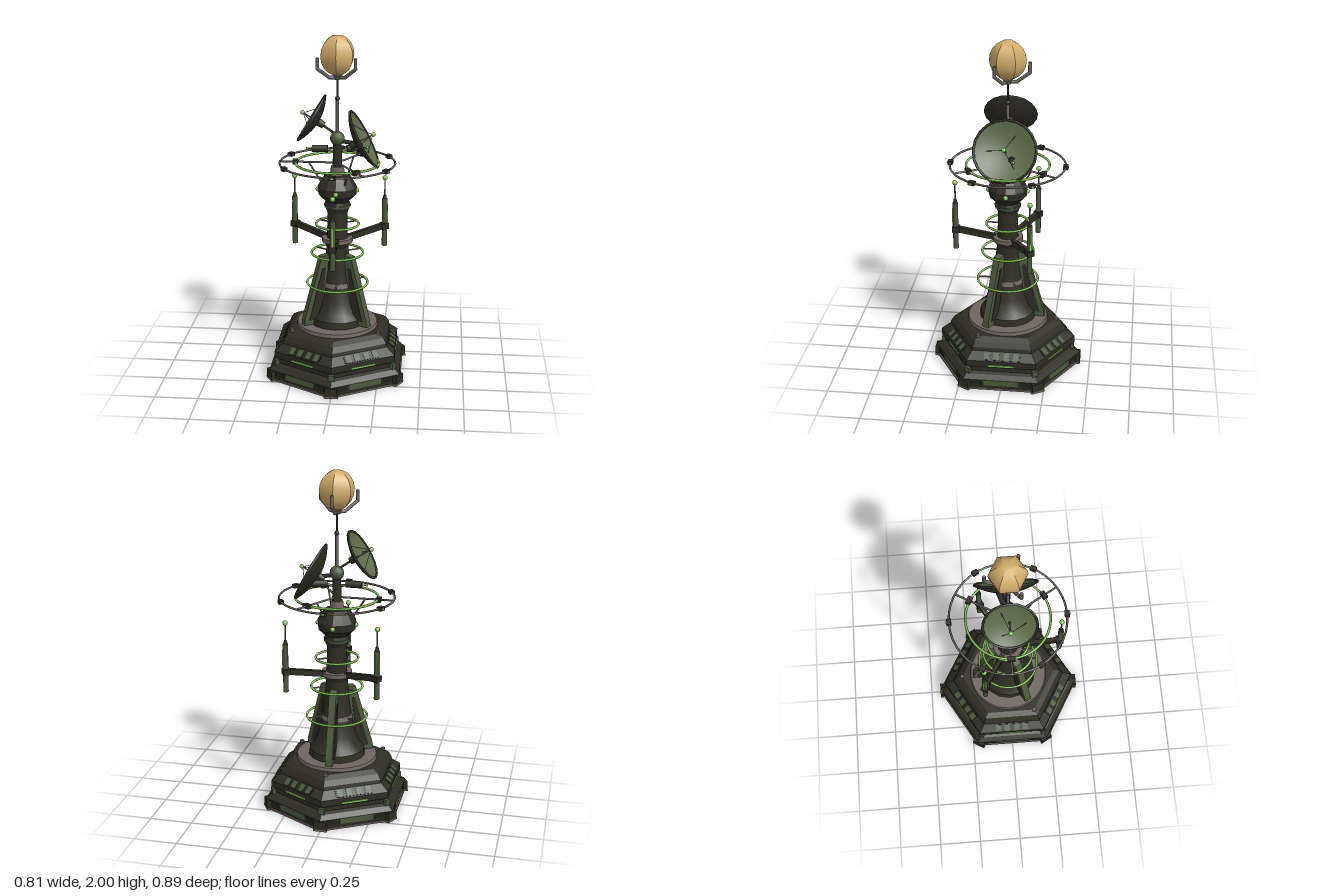
import * as THREE from 'three';
import { toCreasedNormals } from 'three/addons/utils/BufferGeometryUtils.js';

const mat = (name, color) => {
  const m = new THREE.MeshStandardMaterial({ color });
  m.name = name;
  return m;
};
const V = (x, y, z) => new THREE.Vector3(x, y, z);
const TAU = Math.PI * 2;

export function createModel() {
  const dark = mat('dark hull', 0x2e2e23);
  const black = mat('recess', 0x22221b);
  const green = mat('olive panel', 0x4b5b3d);
  const dishGreen = mat('dish green', 0x5b6b4b);
  const glow = mat('bright green', 0x86c858);
  const grey = mat('grey metal', 0x6e675f);
  const gold = mat('gold', 0xd2ad6c);

  const model = new THREE.Group();
  model.name = 'commsTower';

  // Helpers
  const add = (parent, name, geo, material, x = 0, y = 0, z = 0) => {
    const m = new THREE.Mesh(geo, material);
    m.name = name;
    m.position.set(x, y, z);
    parent.add(m);
    return m;
  };
  const box = (w, h, d) => new THREE.BoxGeometry(w, h, d);
  const cyl = (rt, rb, h, n = 10) => new THREE.CylinderGeometry(rt, rb, h, n);
  const ball = (r) => new THREE.SphereGeometry(r, 12, 8);
  const lathe = (pts, n, crease = 0.6) =>
    toCreasedNormals(new THREE.LatheGeometry(pts.map(p => new THREE.Vector2(...p)), n), crease);
  const ring = (parent, name, r, t, material, y) => {
    add(parent, name, new THREE.TorusGeometry(r, t, 6, 40), material, 0, y, 0).rotation.x = Math.PI / 2;
  };
  const rod = (parent, name, a, b, r, material, n = 6) => {
    const d = b.clone().sub(a);
    const m = add(parent, name, cyl(r, r, d.length(), n), material);
    m.position.copy(a).add(b).multiplyScalar(0.5);
    m.quaternion.setFromUnitVectors(V(0, 1, 0), d.normalize());
    return m;
  };
  // Repeats a part round the axis; inside it, local +z points outwards
  const around = (name, count, start, build) => {
    for (let i = 0; i < count; i++) {
      const g = new THREE.Group();
      g.name = name;
      g.rotation.y = start + (i * TAU) / count;
      build(g);
      model.add(g);
    }
  };

  // Stepped hexagonal base
  add(model, 'base', lathe([[0, 0], [0.432, 0], [0.438, 0.065], [0.41, 0.09], [0.385, 0.1], [0.385, 0.125],
    [0.404, 0.135], [0.404, 0.175], [0.35, 0.215], [0.345, 0.235], [0.325, 0.265], [0.29, 0.285], [0, 0.285]], 6, 0.1), dark);
  add(model, 'basePlate', toCreasedNormals(cyl(0.443, 0.443, 0.011, 6), 0.2), grey, 0, 0.008, 0);
  add(model, 'deckRing', toCreasedNormals(cyl(0.235, 0.24, 0.025, 32), 0.5), grey, 0, 0.293, 0);

  // Panels, lights and vents on each base face
  around('baseFace', 6, Math.PI / 6, g => {
    add(g, 'lowerPanel', box(0.2, 0.034, 0.008), green, 0, 0.047, 0.376);
    for (const s of [-1, 1]) add(g, 'sideRecess', box(0.06, 0.03, 0.008), black, s * 0.145, 0.047, 0.376);
    add(g, 'lightStrip', box(0.15, 0.009, 0.009), glow, 0, 0.147, 0.35);
    const slope = new THREE.Group();
    slope.name = 'ventRow';
    slope.position.set(0, 0.195, 0.327);
    slope.rotation.x = -Math.atan2(0.047, 0.04);
    g.add(slope);
    add(slope, 'ventRecess', box(0.22, 0.048, 0.006), black);
    for (const x of [-0.085, -0.03, 0.03, 0.085]) add(slope, 'vent', box(0.034, 0.044, 0.009), green, x, 0, 0.001);
  });

  // Corner posts
  around('baseCorner', 6, 0, g => {
    add(g, 'cornerPost', box(0.07, 0.05, 0.035), dark, 0, 0.037, 0.424);
    add(g, 'cornerBrace', box(0.035, 0.04, 0.02), green, 0, 0.105, 0.393);
    add(g, 'cornerFoot', box(0.08, 0.012, 0.02), grey, 0, 0.008, 0.432);
  });

  // Tower shaft
  add(model, 'shaft', lathe([[0, 0.3], [0.168, 0.3], [0.163, 0.345], [0.135, 0.375], [0.11, 0.44], [0.09, 0.53],
    [0.075, 0.63], [0.065, 0.75], [0.06, 0.85], [0.057, 0.98], [0, 0.98]], 16), dark);
  add(model, 'lowerBand', cyl(0.088, 0.095, 0.025, 16), grey, 0, 0.545, 0);
  add(model, 'armCollar', cyl(0.09, 0.09, 0.025, 16), grey, 0, 0.812, 0);
  add(model, 'armCollarBase', cyl(0.08, 0.065, 0.035, 16), dark, 0, 0.785, 0);

  // Buttress fins with inset panels
  const finShape = (pts) => new THREE.Shape(pts.map(p => new THREE.Vector2(...p)));
  const fin = (pts, t) => {
    const geo = new THREE.ExtrudeGeometry(finShape(pts), { depth: t, bevelEnabled: false });
    geo.translate(0, 0, -t / 2);
    return geo.rotateY(-Math.PI / 2);
  };
  around('buttress', 3, Math.PI, g => {
    add(g, 'fin', fin([[0.06, 0.31], [0.222, 0.31], [0.217, 0.35], [0.11, 0.72], [0.05, 0.73]], 0.042), green);
    add(g, 'finInset', fin([[0.12, 0.34], [0.19, 0.34], [0.105, 0.65], [0.085, 0.65]], 0.05), dark);
    add(g, 'deckBolt', cyl(0.014, 0.014, 0.015, 5), grey, 0, 0.288, 0.29);
  });

  // Glowing hoops held by thin spokes
  for (const [r, y] of [[0.177, 0.545], [0.15, 0.73], [0.124, 0.905]]) {
    ring(model, 'hoop', r, 0.007, glow, y);
    around('hoopSpokes', 3, 0, g => rod(g, 'hoopSpoke', V(0, y, 0.05), V(0, y, r), 0.005, grey));
  }

  // Arms carrying antenna pods
  around('podArm', 3, 0, g => {
    const arm = add(g, 'arm', box(0.026, 0.034, 0.24), dark, 0, 0.832, 0.19);
    arm.rotation.x = -0.17;
    add(g, 'podClamp', box(0.042, 0.035, 0.042), dark, 0, 0.85, 0.305);
    add(g, 'pod', cyl(0.016, 0.016, 0.29, 8), green, 0, 0.872, 0.307);
    add(g, 'podLight', box(0.01, 0.11, 0.006), glow, 0, 0.925, 0.323);
    add(g, 'podCap', cyl(0.008, 0.013, 0.025, 8), dark, 0, 1.028, 0.307);
    rod(g, 'whisker', V(0, 1.03, 0.307), V(0, 1.14, 0.307), 0.0045, grey);
    add(g, 'whiskerTip', ball(0.015), glow, 0, 1.143, 0.307);
  });

  // Hub
  add(model, 'hub', lathe([[0, 0.98], [0.06, 0.98], [0.075, 1.02], [0.068, 1.045], [0.11, 1.085], [0.114, 1.13],
    [0.082, 1.185], [0.07, 1.2], [0, 1.2]], 12, 0.4), dark);
  add(model, 'hubBand', cyl(0.084, 0.102, 0.028, 12), green, 0, 1.158, 0);
  add(model, 'hubNeckBand', cyl(0.078, 0.076, 0.014, 12), green, 0, 1.018, 0);
  around('hubLightMount', 4, 0, g => add(g, 'hubLight', ball(0.014), glow, 0, 1.11, 0.112));
  add(model, 'hubCap', cyl(0.037, 0.043, 0.05, 12), grey, 0, 1.225, 0);

  // Halo rings, nodes and spokes
  ring(model, 'outerRing', 0.33, 0.006, grey, 1.27);
  ring(model, 'innerRing', 0.238, 0.007, glow, 1.27);
  around('outerNode', 6, 0, g => {
    add(g, 'node', box(0.036, 0.022, 0.028), dark, 0, 1.27, 0.33);
    add(g, 'nodeLight', box(0.014, 0.008, 0.006), glow, 0, 1.27, 0.345);
  });
  around('haloSpoke', 3, -Math.PI / 2, g => {
    rod(g, 'spoke', V(0, 1.27, 0.02), V(0, 1.27, 0.33), 0.006, grey);
    add(g, 'spokeClamp', box(0.045, 0.025, 0.028), dark, 0, 1.27, 0.242);
    rod(g, 'brace', V(0, 1.15, 0.09), V(0, 1.27, 0.165), 0.005, grey);
  });

  // Mast
  add(model, 'mastBase', cyl(0.024, 0.028, 0.15, 12), dark, 0, 1.315, 0);
  add(model, 'mastJoint', ball(0.042), green, 0, 1.412, 0);
  rod(model, 'mast', V(0, 1.43, 0), V(0, 1.64, 0), 0.01, grey, 8);
  add(model, 'mastKnot', ball(0.014), dark, 0, 1.642, 0);
  rod(model, 'mastTip', V(0, 1.64, 0), V(0, 1.76, 0), 0.006, dark, 8);

  // Small horn receivers
  around('hornMount', 2, -Math.PI / 2, g => {
    if (g.rotation.y > 0) g.rotation.y += 0.29;
    rod(g, 'hornStem', V(0, 1.335, 0.02), V(0, 1.35, 0.07), 0.007, grey);
    rod(g, 'horn', V(0, 1.35, 0.055), V(0, 1.35, 0.145), 0.021, dark, 8);
    rod(g, 'hornNeedle', V(0, 1.35, 0.14), V(0, 1.35, 0.17), 0.004, grey);
    add(g, 'hornTip', ball(0.008), glow, 0, 1.35, 0.173);
  });

  // Dishes: bowl, rim, feed and rear mount, built along local +y
  const dish = (name, R, depth, center, normal) => {
    const g = new THREE.Group();
    g.name = name;
    g.position.copy(center);
    g.quaternion.setFromUnitVectors(V(0, 1, 0), normal.normalize());
    model.add(g);
    const steps = [0, 0.2, 0.4, 0.6, 0.8, 1];
    const curve = (drop) => steps.map(t => [t * R, depth * (t * t - 1) - drop]);
    add(g, 'dishFace', lathe(curve(0).reverse(), 20), dishGreen);
    add(g, 'dishBack', lathe(curve(0.01), 20), dark);
    add(g, 'dishRim', new THREE.TorusGeometry(R - 0.002, 0.007, 6, 20), dark, 0, -0.004, 0).rotation.x = Math.PI / 2;
    rod(g, 'feedStem', V(0, -depth, 0), V(0, 0.056, 0), 0.004, grey);
    for (let i = 0; i < 3; i++) {
      const a = (i * TAU) / 3 + Math.PI / 2;
      rod(g, 'feedStrut', V(Math.cos(a) * R * 0.6, -depth * 0.64, Math.sin(a) * R * 0.6), V(0, 0.05, 0), 0.002, grey);
    }
    add(g, 'feedTip', ball(0.013), glow, 0, 0.056, 0);
    add(g, 'dishMount', cyl(0.024, 0.02, 0.045, 8), dark, 0, -depth - 0.022, 0);
  };
  dish('upperDish', 0.15, 0.04, V(-0.15, 1.53, 0), V(-0.85, 0.52, 0));
  dish('lowerDish', 0.178, 0.048, V(0.155, 1.412, 0), V(0.884, 0.47, 0));
  rod(model, 'upperDishArm', V(-0.08, 1.485, 0), V(0, 1.43, 0), 0.007, dark);
  rod(model, 'lowerDishArm', V(0.1, 1.385, 0), V(0, 1.4, 0), 0.012, dark);

  // Faceted golden orb in a three-pronged cradle
  const orbProfile = [];
  for (let i = 0; i <= 10; i++) {
    const a = (i / 10) * Math.PI;
    orbProfile.push([0.104 * Math.sin(a), 1.887 - 0.113 * Math.cos(a)]);
  }
  add(model, 'orb', lathe(orbProfile, 6, 0.5), gold);
  add(model, 'cradleBase', cyl(0.028, 0.016, 0.024, 8), grey, 0, 1.762, 0);
  around('cradleProng', 3, Math.PI, g => {
    const path = [V(0, 1.762, 0.01), V(0, 1.765, 0.05), V(0, 1.82, 0.122), V(0, 1.88, 0.122)];
    for (let i = 0; i < 3; i++) rod(g, 'prong', path[i], path[i + 1], 0.01, grey);
    for (const p of path.slice(1, 3)) add(g, 'prongJoint', new THREE.SphereGeometry(0.0105, 8, 6), grey, p.x, p.y, p.z);
  });

  return model;
}
